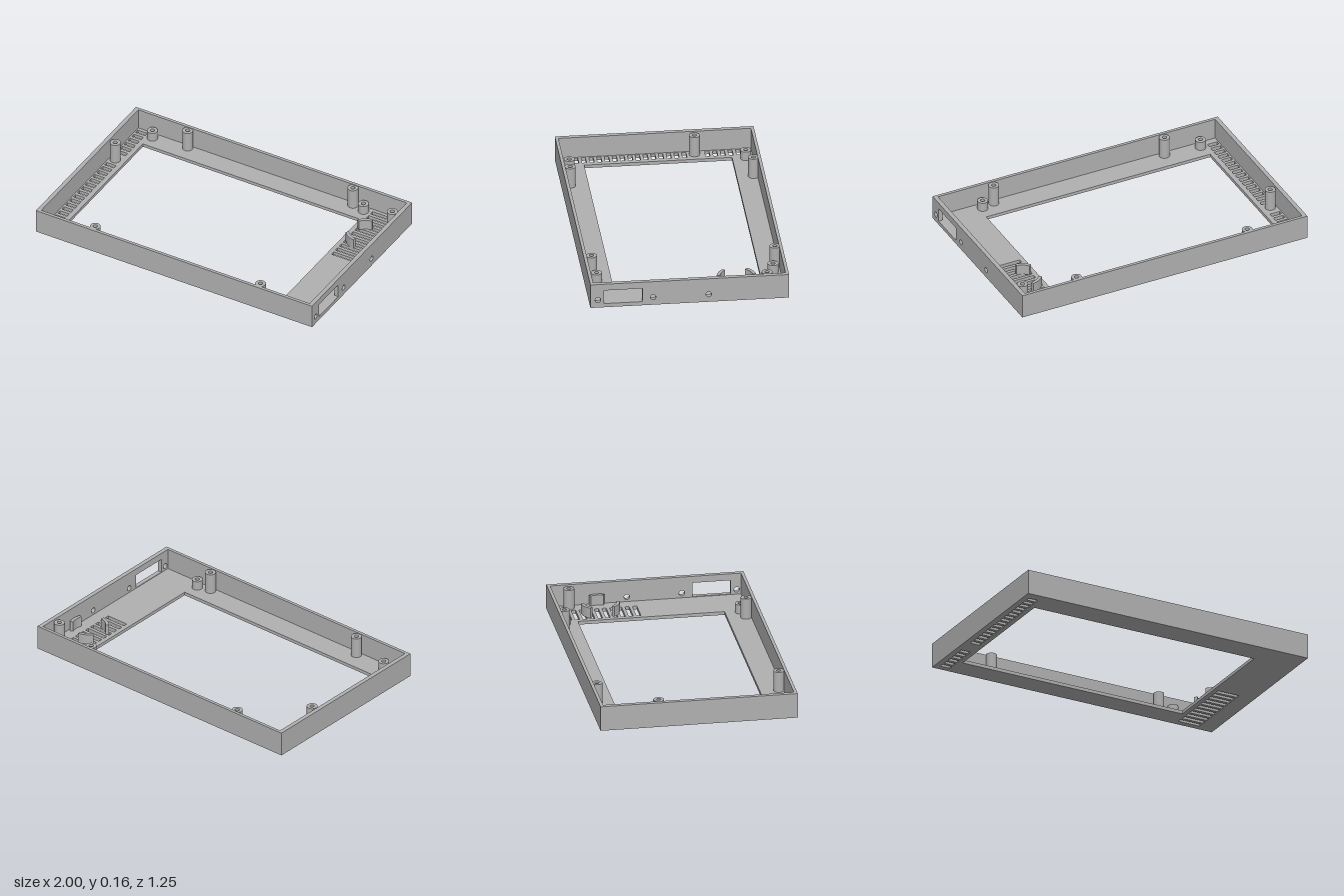
import * as THREE from 'three';

const H = 0.163, FLOOR = 0.022;          // overall height, floor thickness
const X = 1, Z = 0.627, WX = 0.028, WZ = 0.02; // outer half sizes, wall thicknesses

const casing = new THREE.MeshStandardMaterial({ color: 0xb0b0b0 });
casing.name = 'grey plastic';

// rectangle outline given by its limits
function rect(Type, x0, x1, y0, y1) {
  return new Type([[x0, y0], [x1, y0], [x1, y1], [x0, y1]].map(p => new THREE.Vector2(...p)));
}

function circleHole(x, y, r) {
  const p = new THREE.Path();
  p.absarc(x, y, r, 0, Math.PI * 2, true);
  return p;
}

// extrude a plan shape (x, -z) upwards from y0 to y1
function raise(shape, y0, y1) {
  const g = new THREE.ExtrudeGeometry(shape, { depth: y1 - y0, bevelEnabled: false, curveSegments: 16 });
  return g.rotateX(-Math.PI / 2).translate(0, y0, 0);
}

export function createModel() {
  const model = new THREE.Group();
  model.name = 'displayBezel';
  const add = (name, geometry) => {
    const m = new THREE.Mesh(geometry, casing);
    m.name = name;
    model.add(m);
    return m;
  };

  // floor with display opening and ventilation slots
  const floor = rect(THREE.Shape, -X, X, -Z, Z);
  floor.holes.push(rect(THREE.Path, -0.863, 0.708, -0.457, 0.476));
  const slot = (x0, x1, i) => {
    const z = -0.571 + i * 0.0487;
    floor.holes.push(rect(THREE.Path, x0, x1, -z - 0.014, -z + 0.014));
  };
  for (let i = 0; i < 24; i++) if (i !== 6 && i !== 7) slot(-0.963, -0.895, i);
  for (let i = 0; i < 11; i++) slot(0.738, 0.89, i);
  add('floor', raise(floor, 0, FLOOR));

  // plain walls
  const wall = (name, w, d, x, z) =>
    add(name, new THREE.BoxGeometry(w, H - FLOOR, d).translate(x, (H + FLOOR) / 2, z));
  wall('frontWall', 2 * X, WZ, 0, Z - WZ / 2);
  wall('backWall', 2 * X, WZ, 0, -Z + WZ / 2);
  wall('rightWall', WX, 2 * (Z - WZ), -X + WX / 2, 0);

  // left wall with connector port and three round holes
  const side = rect(THREE.Shape, -Z + WZ, Z - WZ, FLOOR, H);
  side.holes.push(rect(THREE.Path, -0.542, -0.298, 0.026, 0.119));
  for (const z of [0.58, 0.231, -0.119]) side.holes.push(circleHole(-z, 0.053, 0.018));
  add('leftWall', new THREE.ExtrudeGeometry(side, { depth: WX, bevelEnabled: false, curveSegments: 16 })
    .rotateY(Math.PI / 2).translate(X - WX, 0, 0));

  // hollow screw bosses
  const boss = (name, x, z, top) => {
    const s = new THREE.Shape();
    s.absarc(0, 0, 0.034, 0, Math.PI * 2);
    s.holes.push(circleHole(0, 0, 0.014));
    add(name, raise(s, FLOOR, top)).position.set(x, 0, z);
  };
  for (const z of [-0.582, 0.575]) for (const x of [-0.6, 0.597]) boss('tallBoss', x, z, 0.158);
  boss('tallBoss', -0.93, -0.246, 0.158);
  boss('tallBoss', 0.932, -0.495, 0.155);
  for (const z of [-0.56, 0.553]) for (const x of [-0.843, 0.686]) boss('shortBoss', x, z, 0.082);

  // three curved clips around a round component
  for (let i = 0; i < 3; i++) {
    const a = i * Math.PI * 2 / 3, half = 0.4;
    const s = new THREE.Shape();
    s.absarc(0, 0, 0.125, a - half, a + half, false);
    s.absarc(0, 0, 0.104, a + half, a - half, true);
    s.closePath();
    add('curvedClip', raise(s, FLOOR, 0.09)).position.set(0.843, 0, -0.313);
  }
  return model;
}
